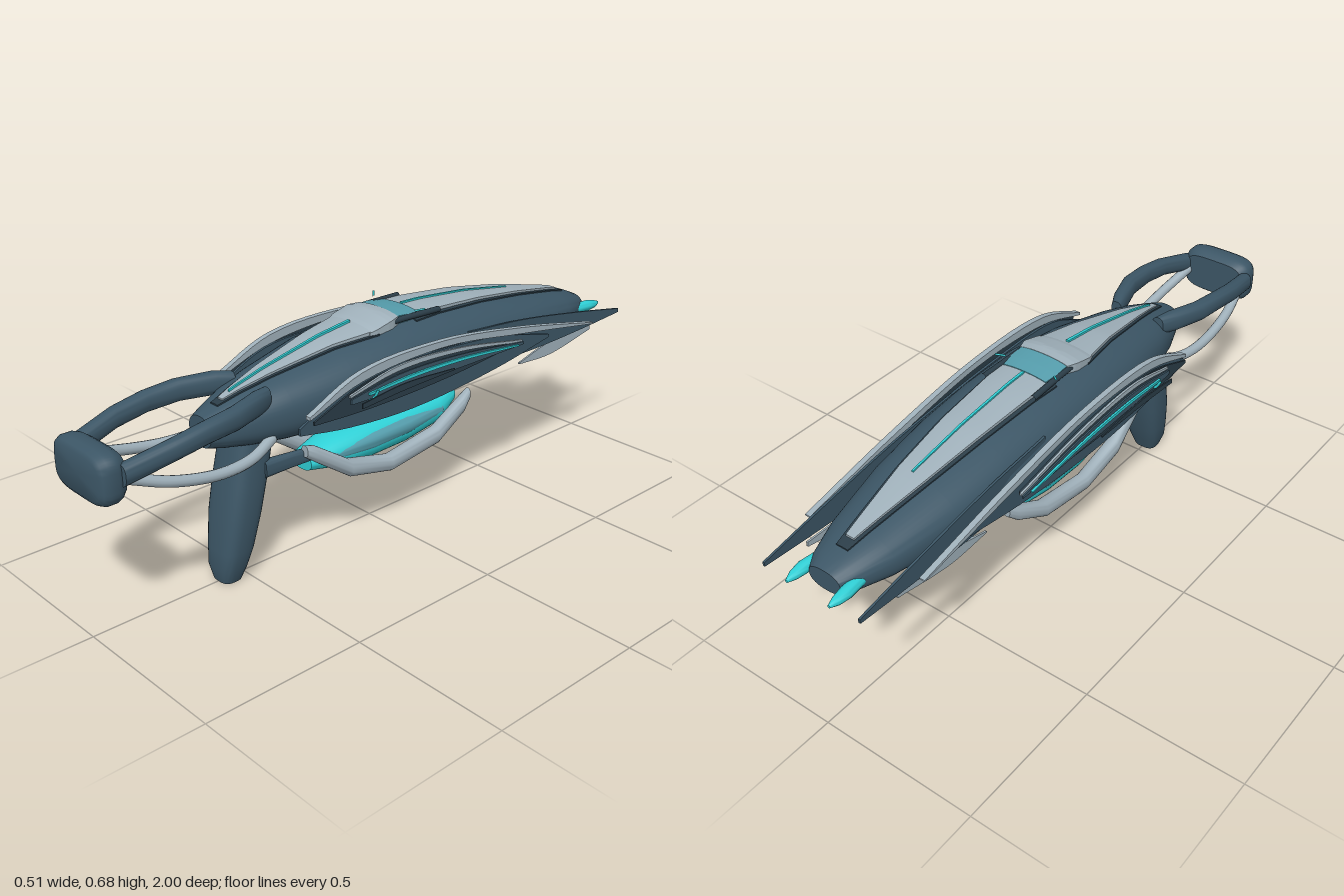
import * as THREE from 'three';
import { toCreasedNormals } from 'three/addons/utils/BufferGeometryUtils.js';

const flat = (name, color) => Object.assign(new THREE.MeshStandardMaterial({ color }), { name });

// Hull stations: z, half width, bottom y, top y
const HULL = [
  [-0.94, 0.055, 0.45, 0.515], [-0.9, 0.08, 0.437, 0.533], [-0.8, 0.115, 0.422, 0.558], [-0.6, 0.155, 0.405, 0.6],
  [-0.4, 0.176, 0.394, 0.632], [-0.2, 0.184, 0.388, 0.65], [0, 0.185, 0.386, 0.655], [0.2, 0.168, 0.39, 0.632],
  [0.4, 0.131, 0.402, 0.592], [0.5, 0.103, 0.413, 0.566], [0.58, 0.07, 0.425, 0.54], [0.62, 0.05, 0.435, 0.525],
];
const POWER = 2.4;

// Linear lookup in a table sorted by its first column
function lookup(table, z) {
  let i = 0;
  while (i < table.length - 2 && z > table[i + 1][0]) i++;
  const a = table[i], b = table[i + 1];
  const t = THREE.MathUtils.clamp((z - a[0]) / (b[0] - a[0]), 0, 1);
  return a.map((v, k) => v + (b[k] - v) * t);
}

// Height of the hull skin above a given x, z
function hullTop(x, z) {
  const [, hw, lo, hi] = lookup(HULL, z);
  const k = Math.max(0, 1 - Math.pow(Math.min(1, Math.abs(x) / hw), POWER));
  return (lo + hi) / 2 + ((hi - lo) / 2) * Math.pow(k, 1 / POWER);
}

// Skin closed rings (counterclockwise seen from +z, z increasing) and cap both ends
function skin(rings, crease = 0.7) {
  const n = rings[0].length, pos = rings.flat(2), idx = [];
  for (let i = 0; i < rings.length - 1; i++) for (let j = 0; j < n; j++) {
    const a = i * n + j, b = i * n + (j + 1) % n;
    idx.push(a, b, b + n, a, b + n, a + n);
  }
  [0, rings.length - 1].forEach((r, end) => {
    const c = pos.length / 3;
    for (let k = 0; k < 3; k++) pos.push(rings[r].reduce((s, p) => s + p[k], 0) / n);
    for (let j = 0; j < n; j++) {
      const a = r * n + j, b = r * n + (j + 1) % n;
      idx.push(c, end ? a : b, end ? b : a);
    }
  });
  const g = new THREE.BufferGeometry();
  g.setAttribute('position', new THREE.Float32BufferAttribute(pos, 3));
  g.setIndex(idx);
  return toCreasedNormals(g, crease);
}

// Superellipse sections: z, centre x, centre y, radius x, radius y
function loft(stations, power = 2, sides = 32, map = (p) => p) {
  const sp = (v) => Math.sign(v) * Math.pow(Math.abs(v), 2 / power);
  return skin(stations.map(([z, cx, cy, rx, ry]) => Array.from({ length: sides }, (_, j) => {
    const t = (j / sides) * Math.PI * 2;
    return map([cx + rx * sp(Math.cos(t)), cy + ry * sp(Math.sin(t)), z]);
  })));
}

// Panel lying on the hull; widths table: z, half width, lift above the skin
function panel(widths) {
  const z0 = widths[0][0], z1 = widths[widths.length - 1][0], rings = [];
  for (let i = 0; i <= 24; i++) {
    const z = z0 + ((z1 - z0) * i) / 24, [, w, lift] = lookup(widths, z), ring = [];
    for (let j = 0; j <= 10; j++) {
      const x = w * (1 - j / 5);
      ring.push([x, hullTop(x, z) + lift, z]);
    }
    ring.push([-w, hullTop(w, z) - 0.02, z], [w, hullTop(w, z) - 0.02, z]);
    rings.push(ring);
  }
  return skin(rings);
}

// Curved side blade from an upper and a lower edge given as z, y
function blade(upper, lower, depth) {
  const edge = (pts) => new THREE.CatmullRomCurve3(pts.map(([z, y]) => new THREE.Vector3(z, y, 0)))
    .getPoints(24).map((p) => new THREE.Vector2(p.x, p.y));
  const shape = new THREE.Shape([...edge(upper), ...edge(lower).reverse()]);
  return new THREE.ExtrudeGeometry(shape, { depth, bevelEnabled: false }).rotateY(-Math.PI / 2);
}

const tube = (pts, r) => new THREE.TubeGeometry(
  new THREE.CatmullRomCurve3(pts.map((p) => new THREE.Vector3(...p))), 32, r, 12);

export function createModel() {
  const model = new THREE.Group();
  model.name = 'spacecraft';
  const slate = flat('slate hull', 0x3c5666), shade = flat('dark trim', 0x2b3d48);
  const pale = flat('pale grey', 0xa0b1bb), cyan = flat('cyan', 0x2fd0d6), teal = flat('teal glass', 0x559dac);
  const add = (name, geometry, material) => {
    const m = new THREE.Mesh(geometry, material);
    m.name = name;
    model.add(m);
    return m;
  };

  // Main hull and dorsal panels
  add('hull', loft(HULL.map(([z, w, lo, hi]) => [z, 0, (lo + hi) / 2, w, (hi - lo) / 2]), POWER, 48), slate);
  add('rearTrim', panel([[-0.87, 0.02, 0.004], [-0.6, 0.058, 0.004], [-0.4, 0.078, 0.004], [-0.1, 0.096, 0.004]]), shade);
  add('frontTrim', panel([[0.05, 0.098, 0.004], [0.2, 0.073, 0.004], [0.4, 0.043, 0.004], [0.57, 0.015, 0.004]]), shade);
  add('rearDorsalPanel', panel([[-0.84, 0.014, 0.01], [-0.6, 0.048, 0.011], [-0.4, 0.067, 0.012], [-0.12, 0.083, 0.014]]), pale);
  add('frontDorsalPanel', panel([[0.06, 0.09, 0.014], [0.2, 0.065, 0.012], [0.4, 0.035, 0.01], [0.55, 0.01, 0.008]]), pale);
  add('canopyFrame', panel([[-0.035, 0.085, 0.025], [0, 0.097, 0.026], [0.06, 0.095, 0.018], [0.08, 0.088, 0.012]]), pale);
  add('canopyGlass', panel([[-0.125, 0.075, 0.016], [-0.08, 0.082, 0.021], [-0.034, 0.082, 0.024]]), teal);
  add('rearSpine', panel([[-0.6, 0.003, 0.015], [-0.13, 0.004, 0.019]]), cyan);
  add('frontSpine', panel([[0.08, 0.005, 0.02], [0.52, 0.003, 0.014]]), cyan);

  // Nose bumper
  add('bumper', loft([[0.92, 0, 0.487, 0.105, 0.06], [0.935, 0, 0.487, 0.117, 0.071], [0.95, 0, 0.487, 0.122, 0.076],
    [0.978, 0, 0.487, 0.122, 0.076], [0.993, 0, 0.487, 0.115, 0.069], [1, 0, 0.487, 0.103, 0.058]], 4, 48), slate);

  // Landing leg: sections stacked along y as y, centre z, centre x, radius z, radius x
  add('leg', loft([[0, 0.555, 0, 0.033, 0.038], [0.045, 0.551, 0, 0.046, 0.055], [0.1, 0.538, 0, 0.054, 0.064],
    [0.2, 0.519, 0, 0.061, 0.074], [0.3, 0.497, 0, 0.064, 0.075], [0.44, 0.465, 0, 0.067, 0.068]],
  3, 32, ([a, b, c]) => [b, c, a]), slate);

  // Belly pod with glass flanks
  add('bellyPod', loft([[-0.335, 0, 0.322, 0.04, 0.036], [-0.25, 0, 0.295, 0.065, 0.05], [-0.1, 0, 0.285, 0.077, 0.06],
    [0.05, 0, 0.281, 0.077, 0.06], [0.18, 0, 0.28, 0.068, 0.048], [0.27, 0, 0.275, 0.045, 0.026]], 2.2), cyan);
  add('podFlanks', loft([[-0.26, 0, 0.3, 0.064, 0.028], [-0.1, 0, 0.295, 0.082, 0.038],
    [0.05, 0, 0.29, 0.082, 0.038], [0.2, 0, 0.283, 0.066, 0.025]], 2.4), teal);

  // Side blades: name, material, outer x, depth, upper edge, lower edge
  const blades = [
    ['innerBlade', slate, 0.191, 0.008, [[0.43, 0.49], [0.25, 0.57], [0, 0.58], [-0.35, 0.555], [-0.6, 0.5]],
      [[0.43, 0.47], [0.25, 0.44], [0, 0.425], [-0.35, 0.45], [-0.6, 0.49]]],
    ['paleBlade', pale, 0.21, 0.018, [[0.41, 0.525], [0.22, 0.602], [-0.1, 0.612], [-0.45, 0.565], [-0.8, 0.495]],
      [[0.41, 0.515], [0.22, 0.575], [-0.1, 0.592], [-0.45, 0.545], [-0.8, 0.49]]],
    ['middleBlade', shade, 0.216, 0.006, [[0.4, 0.51], [0.2, 0.575], [-0.1, 0.58], [-0.42, 0.53]],
      [[0.4, 0.5], [0.2, 0.49], [-0.1, 0.495], [-0.42, 0.52]]],
    ['outerPaleBlade', pale, 0.227, 0.007, [[0.28, 0.555], [0.1, 0.593], [-0.15, 0.582], [-0.43, 0.535]],
      [[0.28, 0.548], [0.1, 0.578], [-0.15, 0.57], [-0.43, 0.528]]],
    ['outerBlade', slate, 0.232, 0.005, [[0.28, 0.545], [0.1, 0.57], [-0.15, 0.563], [-0.43, 0.53]],
      [[0.28, 0.53], [0.1, 0.525], [-0.15, 0.522], [-0.43, 0.522]]],
    ['glowBlade', cyan, 0.24, 0.006, [[0.22, 0.55], [0.05, 0.56], [-0.15, 0.555], [-0.4, 0.53]],
      [[0.22, 0.543], [0.05, 0.55], [-0.15, 0.546], [-0.4, 0.525]]],
    ['aftBlade', slate, 0.17, 0.007, [[-0.25, 0.59], [-0.5, 0.568], [-0.75, 0.53], [-0.99, 0.487]],
      [[-0.25, 0.47], [-0.5, 0.455], [-0.75, 0.46], [-0.99, 0.474]]],
    ['aftPaleBlade', pale, 0.161, 0.006, [[-0.5, 0.42], [-0.65, 0.455], [-0.85, 0.46]],
      [[-0.5, 0.415], [-0.65, 0.41], [-0.85, 0.445]]],
  ];

  [1, -1].forEach((s) => {
    const side = s > 0 ? 'left' : 'right';
    const part = (name, geometry, material) => add(side + name[0].toUpperCase() + name.slice(1), geometry, material);
    const mirror = (st) => st.map(([z, x, ...rest]) => [z, s * x, ...rest]);

    for (const [name, mat, x, depth, upper, lower] of blades)
      part(name, blade(upper, lower, depth), mat).position.x = s > 0 ? x : depth - x;

    // Winglet hooks
    part('hook', tube([[s * 0.215, 0.52, 0.2], [s * 0.235, 0.53, 0.2], [s * 0.254, 0.56, 0.2]], 0.004), cyan);
    part('hookFin', blade([[0.26, 0.535], [0.1, 0.55], [-0.1, 0.54]], [[0.26, 0.52], [0.1, 0.53], [-0.1, 0.535]], 0.004), shade)
      .position.x = s > 0 ? 0.255 : -0.251;

    // Nose arms and lower pipes
    part('noseArm', loft(mirror([[0.45, 0.078, 0.556, 0.02, 0.03], [0.5, 0.098, 0.558, 0.026, 0.034], [0.6, 0.131, 0.556, 0.026, 0.032],
      [0.7, 0.138, 0.549, 0.025, 0.03], [0.8, 0.136, 0.533, 0.025, 0.029], [0.94, 0.112, 0.5, 0.024, 0.03]]), 2.5, 24), slate);
    part('nosePipe', tube([[s * 0.1, 0.485, 0.93], [s * 0.125, 0.44, 0.8], [s * 0.13, 0.412, 0.65],
      [s * 0.12, 0.415, 0.54], [s * 0.095, 0.44, 0.45]], 0.016), pale);

    // Belly rails and their struts
    part('bellyRail', loft(mirror([[-0.335, 0.094, 0.342, 0.013, 0.02], [-0.3, 0.097, 0.316, 0.021, 0.026],
      [-0.18, 0.104, 0.254, 0.024, 0.028], [0.02, 0.106, 0.226, 0.024, 0.026], [0.18, 0.104, 0.262, 0.024, 0.028],
      [0.3, 0.097, 0.342, 0.021, 0.026], [0.335, 0.094, 0.36, 0.014, 0.018]]), 2.4, 24), pale);
    part('railStrut', loft(mirror([[0.3, 0.086, 0.342, 0.01, 0.02], [0.37, 0.072, 0.338, 0.012, 0.022],
      [0.46, 0.06, 0.335, 0.018, 0.025]]), 4, 24), slate);

    // Canopy collars with small glow tips
    part('canopyCollar', tube([-0.2, -0.13, -0.06, 0.02].map((z, i) =>
      [s * (0.088 - 0.002 * i), hullTop(0.088, z) + 0.014, z]), 0.009), shade);
    part('collarTip', tube([[s * 0.088, 0.672, -0.1], [s * 0.11, 0.679, -0.12]], 0.003), cyan);

    // Engine glow
    part('engine', loft(mirror([[-1, 0.074, 0.482, 0.004, 0.005], [-0.975, 0.075, 0.483, 0.014, 0.013],
      [-0.94, 0.075, 0.485, 0.019, 0.018], [-0.88, 0.07, 0.485, 0.016, 0.018]]), 2, 20), cyan);
  });
  return model;
}
